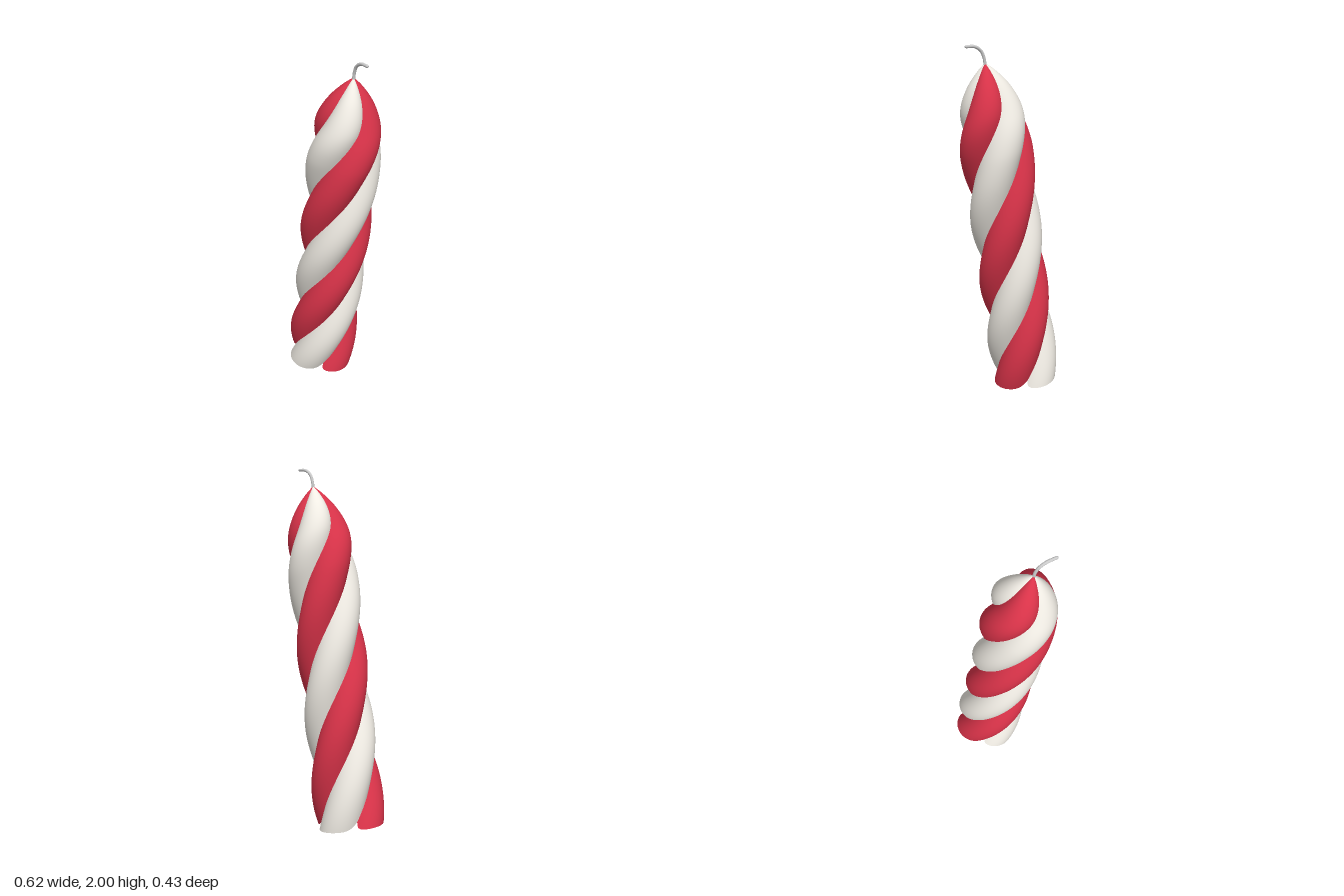
import * as THREE from 'three';

const LENGTH = 1.886;
const BASE = new THREE.Vector3(-0.105, 0.035, -0.005);
const TIP = new THREE.Vector3(0.17, 1.9, 0.035);

// Outer radius of the candle along its axis (height, radius)
const profile = new THREE.SplineCurve([
  [0, 0.206], [0.2, 0.199], [0.5, 0.194], [0.9, 0.193], [1.3, 0.194], [1.46, 0.195],
  [1.58, 0.184], [1.68, 0.155], [1.77, 0.108], [1.84, 0.052], [LENGTH, 0.003],
].map(([h, r]) => new THREE.Vector2(h, r))).getPoints(400);

function radiusAt(h) {
  const i = profile.findIndex((p) => p.x >= h);
  if (i < 0) return profile[profile.length - 1].y;
  if (i === 0) return profile[0].y;
  const a = profile[i - 1], b = profile[i];
  return THREE.MathUtils.lerp(a.y, b.y, (h - a.x) / (b.x - a.x));
}

// Steady twist that eases out towards the tip
function twistAt(h) {
  const rate = 4.12, ease = 1.62, slow = 0.14;
  const steady = Math.min(h, ease);
  const extra = Math.max(0, h - ease);
  return 0.12 - rate * (steady + slow * (1 - Math.exp(-extra / slow)));
}

// One strand: a round-backed strip wound around the axis, open at the foot
function strandGeometry(offset) {
  const across = 28, along = 150, c = 0.44, a = 0.56;
  const pos = [], index = [];
  for (let j = 0; j <= along; j++) {
    for (let i = 0; i <= across; i++) {
      const s = (i / across) * 2 - 1;
      const psi = s * Math.PI / 4;
      const foot = 0.04 * Math.abs(s) ** 8; // rounded corners of the foot
      const h = foot + (LENGTH - foot) * j / along;
      const lobe = c * Math.cos(psi) + Math.sqrt(a * a - (c * Math.sin(psi)) ** 2);
      const r = radiusAt(h) * lobe;
      const phi = offset + psi + twistAt(h);
      pos.push(r * Math.cos(phi), h, r * Math.sin(phi));
      if (i < across && j < along) {
        const p = j * (across + 1) + i, q = p + across + 1;
        index.push(p, q, p + 1, p + 1, q, q + 1);
      }
    }
  }
  const geo = new THREE.BufferGeometry();
  geo.setAttribute('position', new THREE.Float32BufferAttribute(pos, 3));
  geo.setIndex(index);
  geo.computeVertexNormals();
  return geo;
}

export function createModel() {
  const model = new THREE.Group();
  model.name = 'twistedCandle';
  const red = new THREE.MeshStandardMaterial({ color: 0xd93349, side: THREE.DoubleSide });
  const white = new THREE.MeshStandardMaterial({ color: 0xf0ece4, side: THREE.DoubleSide });
  const grey = new THREE.MeshStandardMaterial({ color: 0xcccccc });

  // Four alternating strands, leaning along the candle's axis
  const body = new THREE.Group();
  body.name = 'candleBody';
  for (let k = 0; k < 4; k++) {
    const strand = new THREE.Mesh(strandGeometry(k * Math.PI / 2), k % 2 ? white : red);
    strand.name = k % 2 ? 'whiteStrand' : 'redStrand';
    body.add(strand);
  }
  body.position.copy(BASE);
  body.quaternion.setFromUnitVectors(new THREE.Vector3(0, 1, 0), TIP.clone().sub(BASE).normalize());
  model.add(body);

  // Curved wick with a rounded end
  const path = new THREE.CatmullRomCurve3([
    [0.169, 1.875, 0.035], [0.175, 1.925, 0.036], [0.193, 1.965, 0.041],
    [0.228, 1.988, 0.049], [0.276, 1.992, 0.06],
  ].map((p) => new THREE.Vector3(...p)));
  const wick = new THREE.Mesh(new THREE.TubeGeometry(path, 32, 0.008, 12), grey);
  wick.name = 'wick';
  const wickEnd = new THREE.Mesh(new THREE.SphereGeometry(0.008, 12, 8), grey);
  wickEnd.name = 'wickEnd';
  wickEnd.position.copy(path.getPoint(1));
  model.add(wick, wickEnd);
  return model;
}
